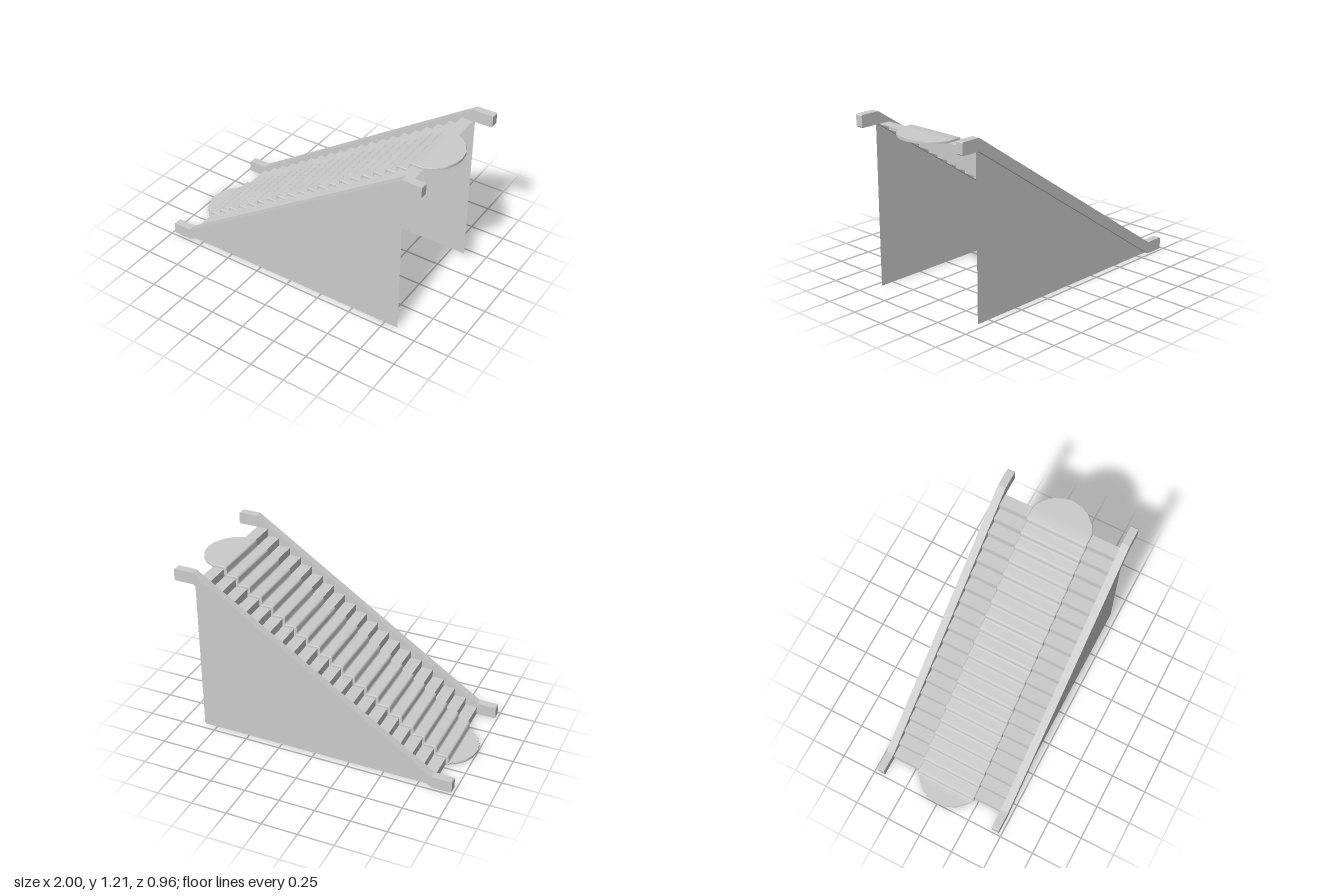
import * as THREE from 'three';
import { toCreasedNormals } from 'three/addons/utils/BufferGeometryUtils.js';

const STEPS = 20;
const HALF_RUN = 0.847, HEIGHT = 1.126;
const TREAD = (2 * HALF_RUN) / STEPS, RISE = HEIGHT / STEPS;
const INNER = 0.425, RAIL_W = 0.055, RAIL_H = 0.085, RAIL_END = 0.985;
const WALL_Z = INNER + RAIL_W / 2;
const CARPET_HALF = 0.22, CARPET_T = 0.019;

const flatMaterial = new THREE.MeshStandardMaterial({ color: 0xcccccc, flatShading: true });
const sheetMaterial = new THREE.MeshStandardMaterial({ color: 0xcccccc, flatShading: true, side: THREE.DoubleSide });
const carpetMaterial = new THREE.MeshStandardMaterial({ color: 0xcccccc });

const toShape = (points) => new THREE.Shape(points.map(([x, y]) => new THREE.Vector2(x, y)));

function fromTriangles(positions) {
  const geometry = new THREE.BufferGeometry();
  geometry.setAttribute('position', new THREE.Float32BufferAttribute(positions, 3));
  geometry.computeVertexNormals();
  return geometry;
}

function addMesh(group, name, geometry, material) {
  const mesh = new THREE.Mesh(geometry, material);
  mesh.name = name;
  group.add(mesh);
  return mesh;
}

// Open zigzag sheet of risers and treads
function stairSheet() {
  const profile = [[-HALF_RUN, 0]];
  for (let i = 0; i < STEPS; i++) {
    const x = -HALF_RUN + i * TREAD, y = (i + 1) * RISE;
    profile.push([x, y], [x + TREAD, y]);
  }
  const positions = [];
  for (let i = 0; i < profile.length - 1; i++) {
    const [x0, y0] = profile[i], [x1, y1] = profile[i + 1];
    const a = [x0, y0, INNER], b = [x0, y0, -INNER], c = [x1, y1, -INNER], d = [x1, y1, INNER];
    positions.push(...a, ...d, ...c, ...a, ...c, ...b);
  }
  return fromTriangles(positions);
}

// Stations along the carpet: underside point, top point and half width
function carpetStations() {
  const gap = 0.001, nose = 0.015, fillet = 0.01, arcSteps = 4;
  const bulge = 1 - HALF_RUN;
  const radius = (bulge * bulge + CARPET_HALF * CARPET_HALF) / (2 * bulge);
  const halfAngle = Math.asin(CARPET_HALF / radius);

  // Rounded end, listed from the tip inwards
  const end = (side, y) => {
    const list = [];
    for (let k = 0; k < arcSteps; k++) {
      const a = (k / arcSteps) * halfAngle;
      const x = side * (1 - radius + radius * Math.cos(a));
      list.push({ under: [x, y], top: [x, y + CARPET_T], w: radius * Math.sin(a) });
    }
    return list;
  };

  const stations = end(-1, 0);
  for (let i = 0; i < STEPS; i++) {
    const x = -HALF_RUN + i * TREAD, y = i * RISE;
    const nx = x - CARPET_T, ny = y + CARPET_T;
    // Soft inner corner, then rounded nose
    for (let k = 0; k <= 3; k++) {
      const a = (k / 3) * Math.PI / 2;
      stations.push({
        under: [x - gap, y + gap], w: CARPET_HALF,
        top: [nx - fillet + fillet * Math.sin(a), ny + fillet - fillet * Math.cos(a)],
      });
    }
    for (let k = 0; k <= 3; k++) {
      const a = (k / 3) * Math.PI / 2;
      stations.push({
        under: [x - gap, y + RISE + gap], w: CARPET_HALF,
        top: [nx + nose - nose * Math.cos(a), ny + RISE - nose + nose * Math.sin(a)],
      });
    }
  }
  stations.push({ under: [HALF_RUN, HEIGHT], top: [HALF_RUN, HEIGHT + CARPET_T], w: CARPET_HALF });
  return stations.concat(end(1, HEIGHT).reverse());
}

// One continuous carpet with a softened upper rim
function carpetGeometry() {
  const rings = carpetStations().map(({ under, top, w }) => {
    const rim = [0, 1].map((k) => top[k] + (under[k] - top[k]) * 0.3);
    const inner = Math.max(0, w - 0.005);
    return [[...under, -w], [...under, w], [...rim, w], [...top, inner], [...top, -inner], [...rim, -w]];
  });
  const positions = [];
  for (let i = 0; i < rings.length - 1; i++) {
    for (let j = 0; j < 6; j++) {
      const n = (j + 1) % 6;
      const a = rings[i][j], b = rings[i][n], c = rings[i + 1][n], d = rings[i + 1][j];
      positions.push(...a, ...d, ...c, ...a, ...c, ...b);
    }
  }
  return toCreasedNormals(fromTriangles(positions), 0.6);
}

export function createModel() {
  const model = new THREE.Group();
  model.name = 'staircase';

  addMesh(model, 'steps', stairSheet(), sheetMaterial);
  addMesh(model, 'carpet', carpetGeometry(), carpetMaterial);

  // Sloping side rails with level, slightly chamfered ends, over thin triangular walls
  const c = 0.006;
  const railShape = toShape([
    [-RAIL_END, c], [c - RAIL_END, 0], [-HALF_RUN, 0],
    [HALF_RUN, HEIGHT], [RAIL_END - c, HEIGHT], [RAIL_END, HEIGHT + c],
    [RAIL_END, HEIGHT + RAIL_H - c], [RAIL_END - c, HEIGHT + RAIL_H], [HALF_RUN, HEIGHT + RAIL_H],
    [-HALF_RUN, RAIL_H], [c - RAIL_END, RAIL_H], [-RAIL_END, RAIL_H - c],
  ]);
  const wallShape = toShape([[-HALF_RUN, 0], [HALF_RUN, 0], [HALF_RUN, HEIGHT]]);
  for (const side of [1, -1]) {
    const label = side > 0 ? 'front' : 'back';
    const rail = new THREE.ExtrudeGeometry(railShape, { depth: RAIL_W, bevelEnabled: false });
    addMesh(model, label + 'Rail', rail, flatMaterial).position.z = side * WALL_Z - RAIL_W / 2;
    addMesh(model, label + 'Wall', new THREE.ShapeGeometry(wallShape), sheetMaterial).position.z = side * WALL_Z;
  }
  return model;
}
